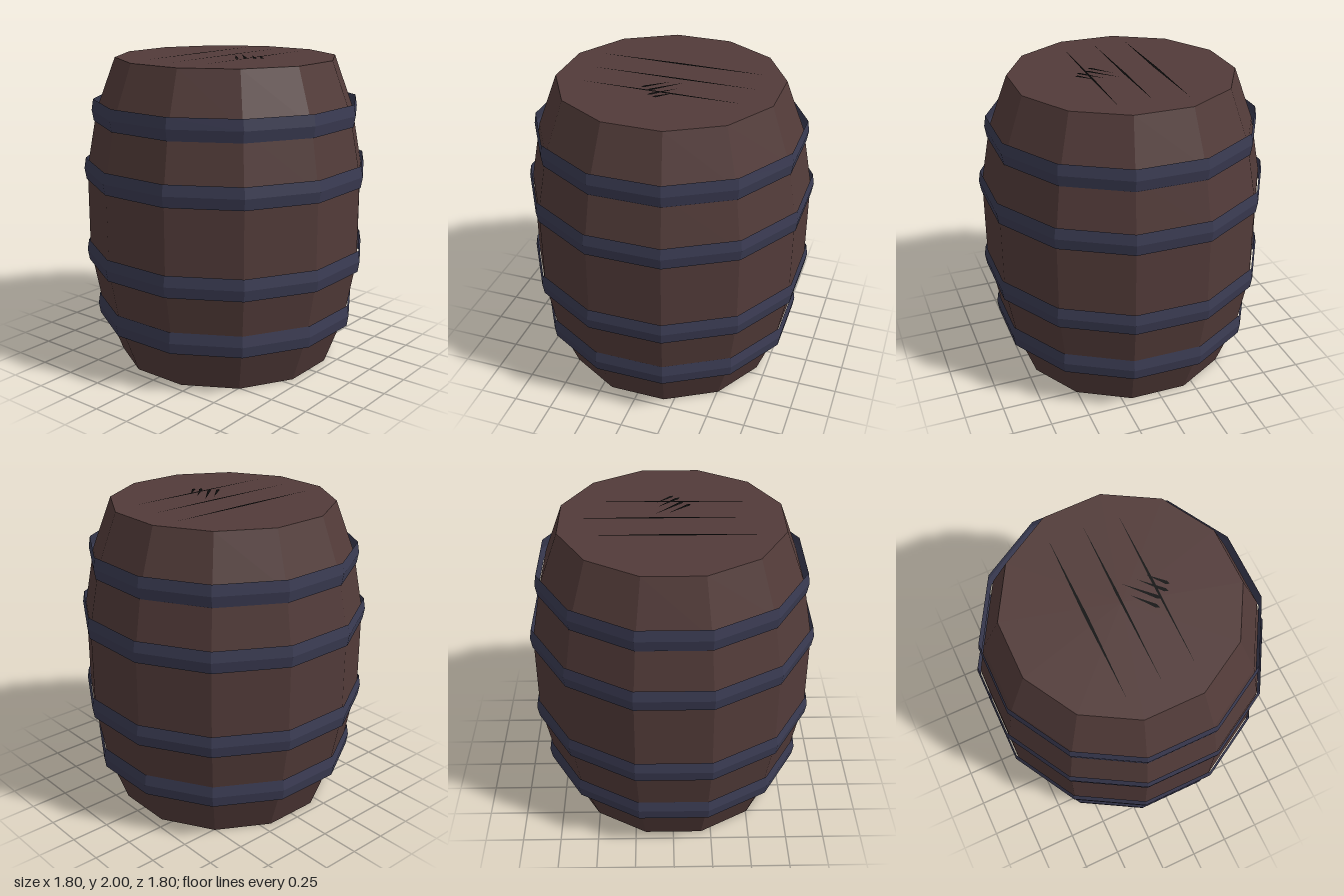
import * as THREE from 'three';

const SIDES = 12;
const TURN = Math.PI / SIDES; // puts a flat side towards each axis
const TO_CORNER = 1 / Math.cos(TURN); // flat-side distance to corner radius

const material = (name, color, options = {}) => {
  const m = new THREE.MeshStandardMaterial({ color, ...options });
  m.name = name;
  return m;
};

// Twelve-sided body from [flat-side distance, height] pairs, bottom to top
function turned(name, profile, mat) {
  const points = profile.map(([r, y]) => new THREE.Vector2(r * TO_CORNER, y));
  const mesh = new THREE.Mesh(new THREE.LatheGeometry(points, SIDES), mat);
  mesh.rotation.y = TURN;
  mesh.name = name;
  return mesh;
}

// Flat tapered sliver lying on the lid, widest at fraction t of its length
function groove(name, x0, z0, x1, z1, width, t, mat) {
  const length = Math.hypot(x1 - x0, z1 - z0);
  const nx = -(z1 - z0) / length * width / 2;
  const nz = (x1 - x0) / length * width / 2;
  const mx = x0 + (x1 - x0) * t;
  const mz = z0 + (z1 - z0) * t;
  const shape = new THREE.Shape([
    new THREE.Vector2(x0, -z0),
    new THREE.Vector2(mx + nx, -(mz + nz)),
    new THREE.Vector2(x1, -z1),
    new THREE.Vector2(mx - nx, -(mz - nz)),
  ]);
  const mesh = new THREE.Mesh(new THREE.ShapeGeometry(shape), mat);
  mesh.rotation.x = -Math.PI / 2;
  mesh.position.y = 2;
  mesh.name = name;
  return mesh;
}

export function createModel() {
  const group = new THREE.Group();
  group.name = 'barrel';
  const wood = material('dark wood', 0x523b39, { flatShading: true });
  const iron = material('blue iron', 0x3a3b52, { flatShading: true, side: THREE.DoubleSide });
  const black = material('groove black', 0x0a0a0a, { side: THREE.DoubleSide });

  // Staves with closed bottom and lid
  group.add(turned('barrelBody', [
    [0, 0], [0.69, 0], [0.812, 0.34], [0.88, 0.72],
    [0.88, 1.28], [0.812, 1.66], [0.69, 1.996], [0, 1.996],
  ], wood));

  // Four thin hoops, each with a ridge around its middle
  for (const [y, r] of [[0.342, 0.842], [0.725, 0.9], [1.28, 0.9], [1.662, 0.842]]) {
    group.add(turned('hoop', [[r - 0.011, y - 0.07], [r, y], [r - 0.011, y + 0.07]], iron));
  }

  // Gaps between the lid boards
  group.add(groove('boardGap', -0.22, -0.55, -0.22, 0.54, 0.02, 0.5, black));
  group.add(groove('boardGap', 0, -0.54, 0, 0.53, 0.016, 0.45, black));
  group.add(groove('boardGap', 0.22, -0.52, 0.215, 0.51, 0.016, 0.45, black));

  // Short scratches
  for (const [x0, z0, x1, z1] of [
    [0.05, -0.1, 0.22, 0.08], [0.06, -0.02, 0.185, 0.125],
    [0.14, -0.09, 0.275, 0.055], [0.2, -0.095, 0.3, 0.015],
  ]) group.add(groove('scratch', x0, z0, x1, z1, 0.022, 0.88, black));

  return group;
}
